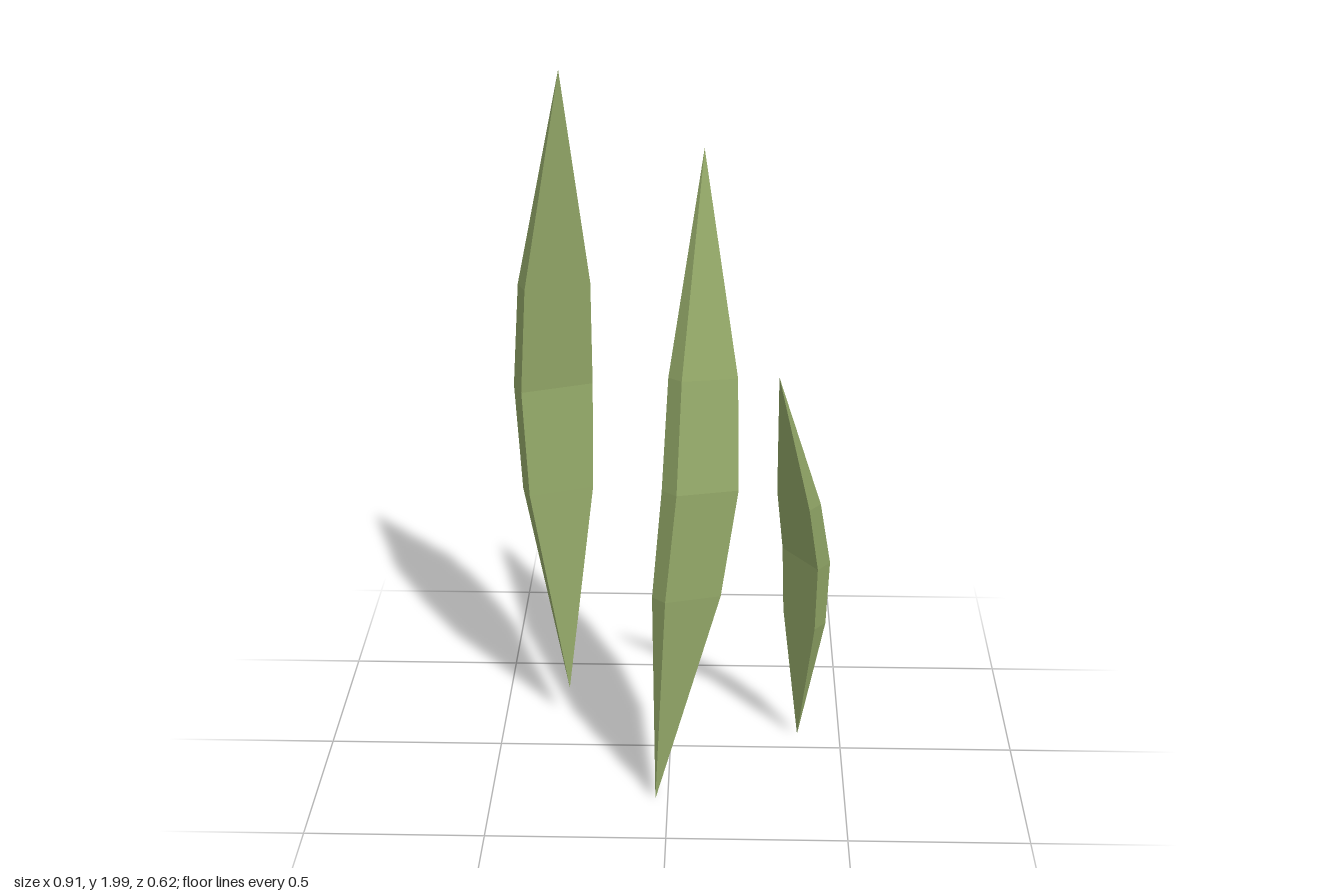
import * as THREE from 'three';

// Rings of a blade 1.88 long: fraction of height, bow, half width, half thickness
const RINGS = [
  [0, 0, 0, 0],
  [1 / 3, 0.074, 0.097, 0.0315],
  [1 / 2, 0.1, 0.1075, 0.035],
  [2 / 3, 0.074, 0.097, 0.0315],
  [1, 0, 0, 0],
];
const CORNERS = [[1, 1], [1, -1], [-1, -1], [-1, 1]];

// Pointed four-sided blade along y, bowed towards +z
function bladeGeometry(length) {
  const s = length / 1.88;
  const rings = RINGS.map(([f, bow, w, t]) =>
    CORNERS.map(([cx, cz]) => [cx * w * s, f * length, (bow + cz * t) * s]));
  const positions = [];
  for (let i = 0; i < rings.length - 1; i++) {
    for (let k = 0; k < 4; k++) {
      const n = (k + 1) % 4;
      const a = rings[i][k], b = rings[i][n], c = rings[i + 1][n], d = rings[i + 1][k];
      if (i > 0) positions.push(...a, ...b, ...c);
      if (i === 0) positions.push(...a, ...c, ...d);
      else if (i < rings.length - 2) positions.push(...a, ...c, ...d);
    }
  }
  const geometry = new THREE.BufferGeometry();
  geometry.setAttribute('position', new THREE.Float32BufferAttribute(positions, 3));
  geometry.computeVertexNormals();
  return geometry;
}

// Stands a blade between two points, bowing towards the given direction
function makeBlade(name, base, tip, bow, material) {
  const from = new THREE.Vector3(...base);
  const yAxis = new THREE.Vector3(...tip).sub(from);
  const length = yAxis.length();
  yAxis.normalize();
  const xAxis = yAxis.clone().cross(new THREE.Vector3(...bow)).normalize();
  const zAxis = xAxis.clone().cross(yAxis);
  const mesh = new THREE.Mesh(bladeGeometry(length), material);
  mesh.name = name;
  mesh.quaternion.setFromRotationMatrix(new THREE.Matrix4().makeBasis(xAxis, yAxis, zAxis));
  mesh.position.copy(from);
  return mesh;
}

export function createModel() {
  const group = new THREE.Group();
  group.name = 'grassBlades';
  const green = new THREE.MeshStandardMaterial({ color: 0x93a868, flatShading: true });
  group.add(
    makeBlade('tallBlade', [-0.305, 0.12, -0.145], [-0.305, 2, -0.145], [-0.38, 0, -0.925], green),
    makeBlade('middleBlade', [-0.035, 0.01, 0.295], [0.09, 1.81, -0.06], [0.602, 0.114, 0.79], green),
    makeBlade('shortBlade', [0.375, 0.015, -0.07], [0.295, 1.255, 0.2], [0.74, 0.2, -0.64], green),
  );
  return group;
}
